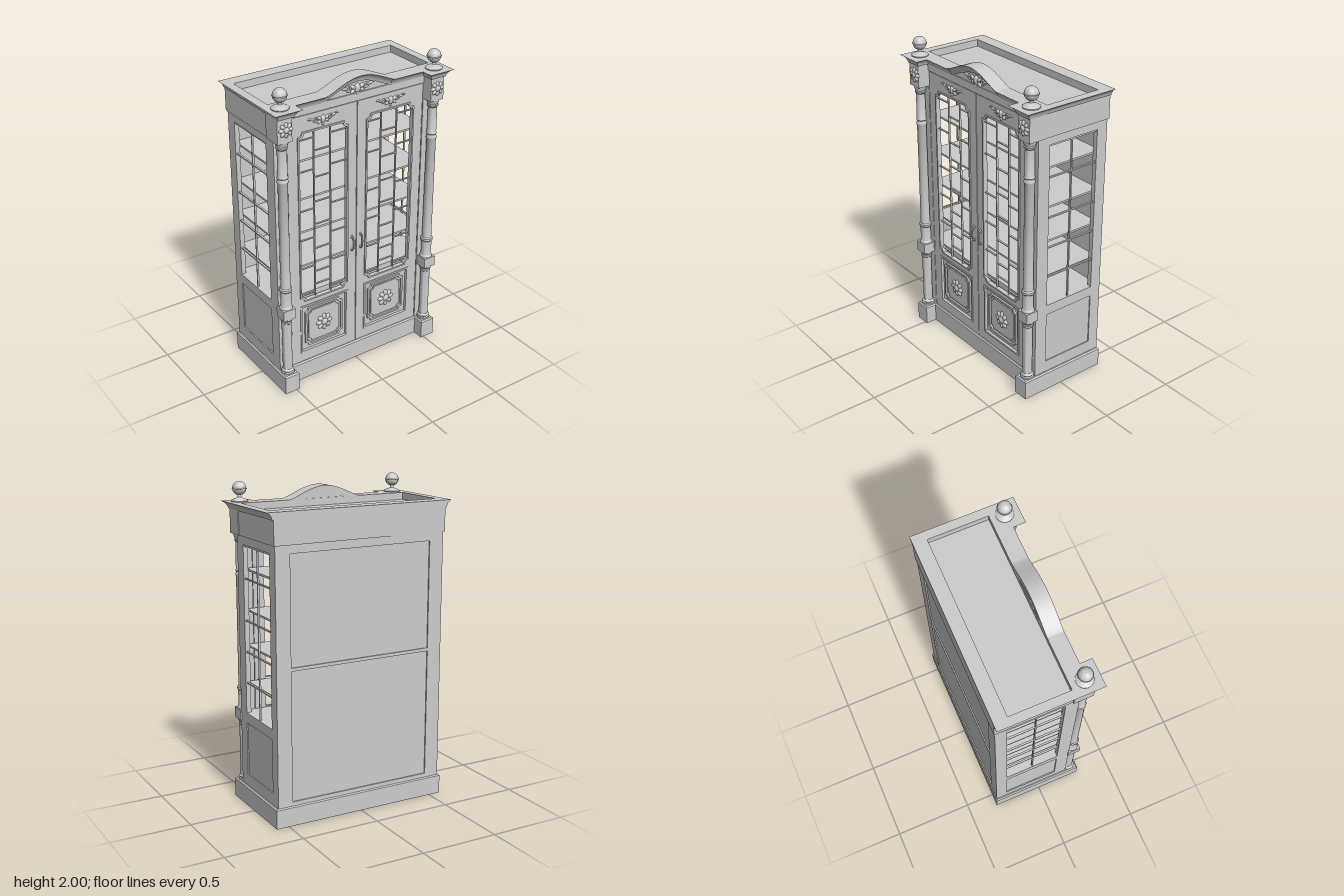
import * as THREE from 'three';
import { toCreasedNormals } from 'three/addons/utils/BufferGeometryUtils.js';

const MAT = new THREE.MeshStandardMaterial({ color: 0xcccccc });
const V = (x, y) => new THREE.Vector2(x, y);

function add(parent, name, geo, x = 0, y = 0, z = 0) {
  const m = new THREE.Mesh(geo, MAT);
  m.name = name;
  m.position.set(x, y, z);
  parent.add(m);
  return m;
}
// Box given by its extents
function box(parent, name, x0, x1, y0, y1, z0, z1) {
  return add(parent, name, new THREE.BoxGeometry(x1 - x0, y1 - y0, z1 - z0),
    (x0 + x1) / 2, (y0 + y1) / 2, (z0 + z1) / 2);
}
const rect = (x0, y0, x1, y1) => new THREE.Shape([V(x0, y0), V(x1, y0), V(x1, y1), V(x0, y1)]);
// Rectangle with scooped corners
function scooped(x0, y0, x1, y1, r) {
  const s = new THREE.Shape();
  [[x0, y0], [x1, y0], [x1, y1], [x0, y1]].forEach(([x, y], k) => {
    const a = Math.PI / 2 + k * Math.PI / 2;
    s.absarc(x, y, r, a, a - Math.PI / 2, true);
  });
  s.closePath();
  return s;
}
function extrude(shape, depth, holes = []) {
  shape.holes.push(...holes);
  return toCreasedNormals(new THREE.ExtrudeGeometry(shape, { depth, bevelEnabled: false, curveSegments: 6 }), 0.6);
}
// Moulding strip following a scooped rectangle
const moulding = (x0, y0, x1, y1, r, w, d) =>
  extrude(scooped(x0, y0, x1, y1, r), d, [scooped(x0 + w, y0 + w, x1 - w, y1 - w, r)]);
const lathe = (pts, n = 24) =>
  toCreasedNormals(new THREE.LatheGeometry(pts.map(p => V(...p)), n), 0.6);

// Flattened carved bead or leaf
function bead(parent, x, y, z, rx, ry, rz, turn = 0) {
  const m = add(parent, 'carvedLeaf', new THREE.SphereGeometry(1, 10, 8), x, y, z);
  m.scale.set(rx, ry, rz);
  m.rotation.z = turn;
}
function rosette(parent, name, x, y, z, r, petals) {
  const g = new THREE.Group();
  g.name = name;
  g.position.set(x, y, z);
  for (let i = 0; i < petals; i++) {
    const a = i / petals * Math.PI * 2;
    bead(g, Math.cos(a) * r * 0.62, Math.sin(a) * r * 0.62, 0, r * 0.4, r * 0.26, 0.012, a);
  }
  bead(g, 0, 0, 0, r * 0.45, r * 0.45, 0.018);
  parent.add(g);
}
// Symmetrical scroll carving
function carving(parent, name, x, y, z, s) {
  const g = new THREE.Group();
  g.name = name;
  g.position.set(x, y, z);
  g.scale.set(s, s, 1);
  bead(g, 0, 0, 0, 0.018, 0.026, 0.014);
  bead(g, 0, -0.026, 0, 0.011, 0.014, 0.01);
  for (const k of [-1, 1]) {
    bead(g, k * 0.026, 0.008, 0, 0.017, 0.01, 0.012, k * 0.6);
    bead(g, k * 0.028, -0.013, 0, 0.016, 0.009, 0.01, -k * 0.6);
    bead(g, k * 0.075, 0.01, 0, 0.022, 0.007, 0.008, k * 0.2);
    bead(g, k * 0.098, 0.018, 0, 0.012, 0.006, 0.008, -k * 0.3);
    add(g, 'carvedScroll', new THREE.TorusGeometry(0.013, 0.005, 6, 14), k * 0.053, 0.004, 0);
  }
  parent.add(g);
}

// Cornice outward sweep at height fraction t
const sweep = t => 0.04 * (0.12 + 0.4 * t + 0.48 * t ** 4);
const H = 0.045, CY = 1.835;

function cornice(parent) {
  const out = [[0.615, -0.315], [0.615, 0.315], [0.44, 0.315], [0.44, 0.24], [0.23, 0.24], [0.23, 0.16]];
  const outline = [...out, ...out.slice().reverse().map(([x, z]) => [-x, z])];
  const shape = new THREE.Shape(outline.map(([x, z]) => V(x, -z)));
  shape.holes.push(rect(-0.56, -0.14, 0.56, 0.23));
  const geo = new THREE.ExtrudeGeometry(shape, { depth: H, steps: 6, bevelEnabled: false });
  geo.rotateX(-Math.PI / 2);
  const p = geo.attributes.position;
  for (let i = 0; i < p.count; i++) {
    const x = p.getX(i), z = p.getZ(i), d = 0.04 - sweep(p.getY(i) / H), ax = Math.abs(x);
    if (ax > 0.6) p.setX(i, x - Math.sign(x) * d);
    else if (ax > 0.4 && ax < 0.5) p.setX(i, x + Math.sign(x) * d);
    if (z > 0.2) p.setZ(i, z - d);
  }
  add(parent, 'cornice', toCreasedNormals(geo, 0.5), 0, CY, 0);

  // Arched centre: the same profile carried over a curved rise
  const rise = x => 0.075 * Math.max(0, Math.cos(x / 0.24 * Math.PI / 2)) ** 1.25;
  const prof = [[0.14, H]];
  for (let j = 6; j >= 0; j--) prof.push([0.2 + sweep(j / 6), H * j / 6]);
  prof.push([0.14, 0], [0.14, H]);
  const n = 40, arch = new THREE.PlaneGeometry(0.48, 1, n, prof.length - 1), q = arch.attributes.position;
  for (let i = 0; i < q.count; i++) {
    const [z, y] = prof[Math.floor(i / (n + 1))];
    q.setXYZ(i, q.getX(i), CY + y + rise(q.getX(i)), z);
  }
  add(parent, 'corniceArch', toCreasedNormals(arch, 0.5));
  const tym = new THREE.Shape([V(0.24, CY - 0.01)]);
  for (let i = 0; i <= 24; i++) {
    const x = 0.24 - i * 0.02;
    tym.lineTo(x, CY + 0.01 + rise(x));
  }
  tym.lineTo(-0.24, CY - 0.01);
  add(parent, 'archPanel', extrude(tym, 0.05), 0, 0, 0.145);
  carving(parent, 'archCarving', 0, 1.868, 0.197, 1.15);
}

// One door, built for the +x side; k mirrors its position
function door(parent, k) {
  const g = new THREE.Group();
  g.name = k > 0 ? 'leftDoor' : 'rightDoor';
  g.position.set(k * 0.2375, 0, 0.175);
  const w = 0.168, F = 0.025;
  add(g, 'doorFrame', extrude(rect(-0.235, 0.128, 0.24, 1.788), F,
    [scooped(-w, 0.572, w, 1.685, 0.03), rect(-0.175, 0.19, 0.175, 0.535)])).scale.x = k;
  add(g, 'windowMoulding', moulding(-w - 0.006, 0.566, w + 0.006, 1.691, 0.03, 0.01, 0.008), 0, 0, F);
  for (const x of [-0.057, 0.057]) box(g, 'glazingBar', x - 0.003, x + 0.003, 0.572, 1.685, 0.006, 0.018);
  for (const y of [1.635, 1.435, 1.18, 0.985, 0.79, 0.6])
    for (const s of [-1, 1])
      box(g, 'glazingBar', s * 0.1125 - 0.0555, s * 0.1125 + 0.0555, y - 0.003, y + 0.003, 0.006, 0.018);
  for (const y of [1.55, 1.38, 1.22, 1.07, 0.905, 0.745, 0.655])
    box(g, 'glazingBar', -0.057, 0.057, y - 0.003, y + 0.003, 0.006, 0.018);
  // Lower panel
  box(g, 'lowerPanel', -0.176, 0.176, 0.189, 0.536, 0, 0.012);
  add(g, 'panelBorder', extrude(rect(-0.175, 0.19, 0.175, 0.535), 0.018, [rect(-0.163, 0.202, 0.163, 0.523)]), 0, 0, 0.012);
  add(g, 'panelMoulding', moulding(-0.138, 0.228, 0.138, 0.502, 0.025, 0.012, 0.012), 0, 0, 0.012);
  add(g, 'raisedPanel', extrude(scooped(-0.112, 0.254, 0.112, 0.476, 0.022), 0.008), 0, 0, 0.012);
  rosette(g, 'panelRosette', 0, 0.365, 0.022, 0.058, 8);
  carving(g, 'doorCarving', 0, 1.738, F, 0.95);
  // Handle and hinges
  const pull = new THREE.CatmullRomCurve3([[0.81, 0], [0.825, 0.016], [0.86, 0.022], [0.895, 0.016], [0.91, 0]]
    .map(([y, z]) => new THREE.Vector3(0, y, z)));
  add(g, 'handle', new THREE.TubeGeometry(pull, 16, 0.005, 8), -k * 0.205, 0, F);
  for (const y of [0.815, 0.905]) bead(g, -k * 0.205, y, F, 0.008, 0.012, 0.005);
  for (const y of [0.35, 1.55])
    add(g, 'hinge', new THREE.CylinderGeometry(0.005, 0.005, 0.05, 8), k * 0.242, y, F);
  parent.add(g);
}

// Turned corner column with square block and ball finial
function column(parent, k) {
  const g = new THREE.Group();
  g.name = k > 0 ? 'leftColumn' : 'rightColumn';
  g.position.set(k * 0.532, 0, 0.232);
  add(g, 'lowerShaft', lathe([[0, 0.12], [0.041, 0.12], [0.041, 0.135], [0.035, 0.14], [0.039, 0.147], [0.035, 0.154],
    [0.03, 0.16], [0.03, 0.49], [0.034, 0.495], [0.034, 0.505], [0.03, 0.51], [0.038, 0.52], [0.038, 0.53], [0, 0.53]]));
  box(g, 'columnBlock', -0.042, 0.042, 0.53, 0.598, -0.04, 0.042);
  add(g, 'upperShaft', lathe([[0, 0.598], [0.039, 0.598], [0.039, 0.606], [0.033, 0.615], [0.033, 0.715], [0.039, 0.722],
    [0.039, 0.735], [0.032, 0.742], [0.03, 0.755], [0.029, 1.43], [0.033, 1.437], [0.033, 1.445], [0.029, 1.452],
    [0.029, 1.462], [0.033, 1.467], [0.029, 1.474], [0.028, 1.64], [0.034, 1.648], [0.034, 1.655], [0.03, 1.66],
    [0.037, 1.675], [0.039, 1.692], [0, 1.692]]));
  box(g, 'capitalBlock', -0.05, 0.045, 1.69, 1.84, -0.08, 0.04);
  rosette(g, 'capitalRosette', -k * 0.005, 1.768, 0.04, 0.046, 8);
  const f = [[0, 1.878], [0.05, 1.878], [0.052, 1.886], [0.044, 1.892], [0.022, 1.9], [0.012, 1.906], [0.01, 1.92], [0.014, 1.924]];
  for (let i = 2; i <= 12; i++) {
    const a = -Math.PI / 2 + i / 12 * Math.PI;
    f.push([Math.max(0, 0.042 * Math.cos(a)), 1.958 + 0.042 * Math.sin(a)]);
  }
  add(g, 'finial', lathe(f), 0, 0, -0.007);
  const ring = add(g, 'finialRing', new THREE.TorusGeometry(0.042, 0.003, 6, 24), 0, 1.958, -0.007);
  ring.rotation.x = Math.PI / 2;
  parent.add(g);
}

// Side wall with window and lower panel
function side(parent, k) {
  const g = new THREE.Group();
  g.name = k > 0 ? 'leftSide' : 'rightSide';
  const wall = extrude(rect(-0.175, 0.12, 0.305, 1.7), 0.03,
    [rect(-0.115, 0.6, 0.235, 1.64), rect(-0.115, 0.2, 0.235, 0.535)]);
  wall.rotateY(Math.PI / 2);
  add(g, 'sideWall', wall, k > 0 ? 0.535 : -0.565);
  const bar = (y0, y1, z0, z1) => box(g, 'sideGlazingBar', k * 0.552 - 0.006, k * 0.552 + 0.006, y0, y1, z0, z1);
  bar(0.6, 1.64, -0.059, -0.051);
  for (const y of [1.435, 1.18, 0.985, 0.79]) bar(y - 0.004, y + 0.004, -0.235, 0.115);
  bar(1.628, 1.64, -0.235, 0.115);
  box(g, 'sidePanel', k * 0.548 - 0.01, k * 0.548 + 0.01, 0.19, 0.545, -0.245, 0.125);
  box(g, 'cornerPost', k * 0.525 - 0.04, k * 0.525 + 0.04, 0.12, 1.7, 0.165, 0.198);
  parent.add(g);
}

export function createModel() {
  const g = new THREE.Group();
  g.name = 'displayCabinet';

  // Plinth with projecting column feet and a chamfered top edge
  const foot = [[0.572, -0.307], [0.572, 0.275], [0.488, 0.275], [0.488, 0.202]];
  const outline = [...foot, ...foot.slice().reverse().map(([x, z]) => [-x, z])];
  const plinth = new THREE.ExtrudeGeometry(new THREE.Shape(outline.map(([x, z]) => V(x, -z))),
    { depth: 0.117, bevelThickness: 0.008, bevelSize: 0.008, bevelSegments: 1 });
  plinth.rotateX(-Math.PI / 2);
  const p = plinth.attributes.position;
  // keep the lower edge square
  for (let i = 0; i < p.count; i++) if (p.getY(i) < 0) p.setY(i, 0);
  box(g, 'plinthBottom', -0.58, 0.58, 0, 0.01, -0.315, 0.2);
  plinth.computeVertexNormals();
  add(g, 'plinth', plinth);

  // Carcass
  box(g, 'lowerCabinet', -0.537, 0.537, 0.12, 0.6, -0.295, 0.165);
  box(g, 'header', -0.573, 0.573, 1.69, 1.836, -0.315, 0.17);
  box(g, 'topRail', -0.485, 0.485, 1.792, 1.84, 0.16, 0.203);
  box(g, 'backBoard', -0.537, 0.537, 0.12, 1.7, -0.3, -0.288);
  add(g, 'backFrame', extrude(rect(-0.565, 0.12, 0.565, 1.7), 0.012,
    [rect(-0.47, 0.15, 0.47, 0.955), rect(-0.47, 0.975, 0.47, 1.64)]), 0, 0, -0.308);
  for (const y of [1.485, 1.237, 1.017, 0.783])
    box(g, 'shelf', -0.536, 0.536, y - 0.006, y + 0.006, -0.29, 0.15);

  for (const k of [-1, 1]) {
    side(g, k);
    door(g, k);
    column(g, k);
  }
  cornice(g);
  return g;
}
